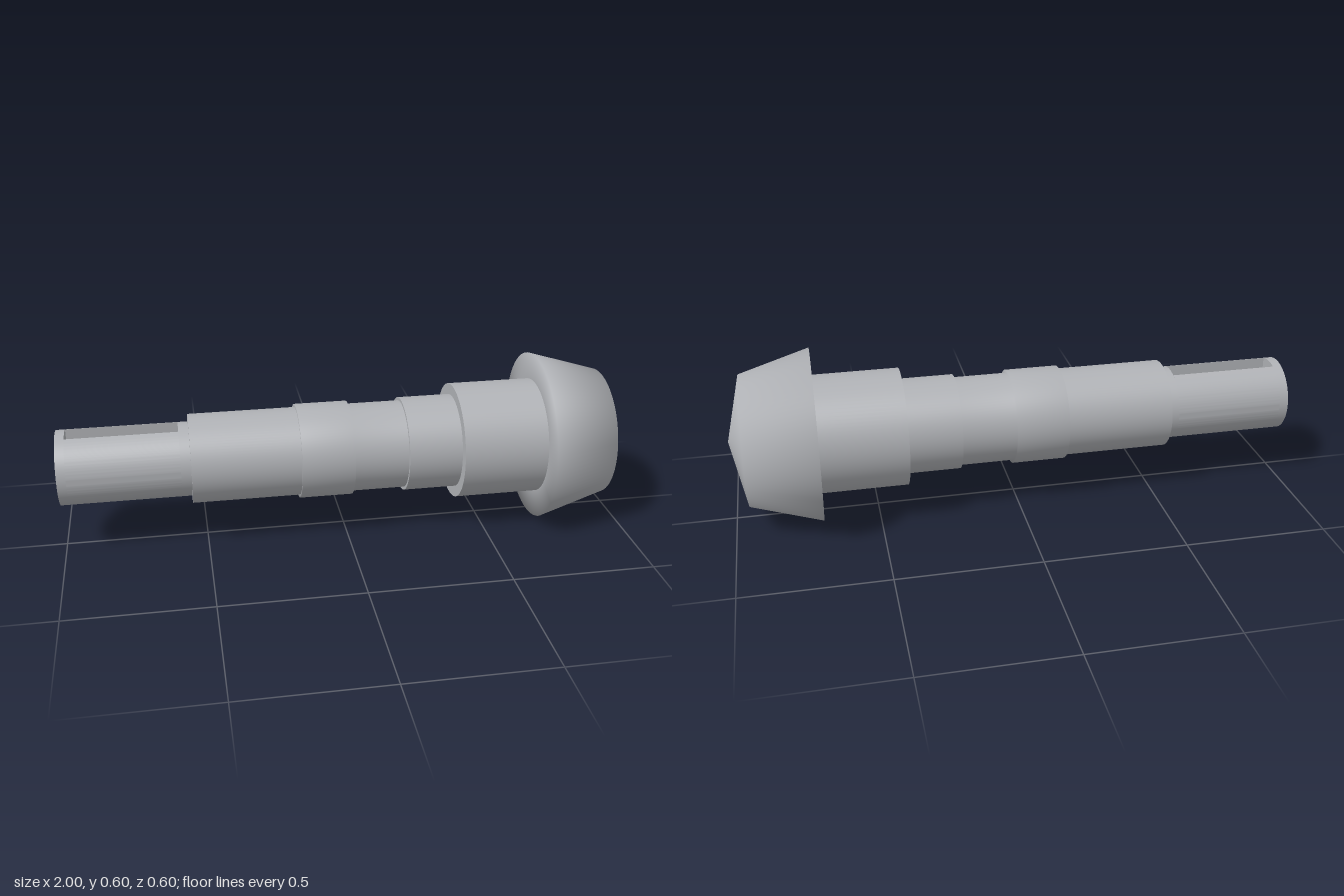
import * as THREE from 'three';
import { toCreasedNormals } from 'three/addons/utils/BufferGeometryUtils.js';

const SEGMENTS = 96;

export function createModel() {
  const model = new THREE.Group();
  model.name = 'steppedShaft';
  const steel = new THREE.MeshStandardMaterial({ color: 0xb0b2b6 });
  steel.name = 'steel';

  // All parts lie along x, on one axis raised so the head rests on y = 0
  const shaft = new THREE.Group();
  shaft.name = 'shaft';
  shaft.position.y = 0.302;
  model.add(shaft);

  const add = (name, geometry) => {
    const mesh = new THREE.Mesh(geometry, steel);
    mesh.name = name;
    shaft.add(mesh);
  };

  // Plain round section between two x positions
  const section = (name, x0, x1, radius) => {
    const g = new THREE.CylinderGeometry(radius, radius, x1 - x0, SEGMENTS);
    g.rotateZ(-Math.PI / 2);
    g.translate((x0 + x1) / 2, 0, 0);
    add(name, g);
  };

  // Softly shaded turned section from [x, radius] pairs
  const turned = (name, profile) => {
    const points = profile.map(([x, r]) => new THREE.Vector2(r, x));
    add(name, new THREE.LatheGeometry(points, SEGMENTS).rotateZ(-Math.PI / 2));
  };

  // Shank with a keyway cut into its top
  const shankRadius = 0.131;
  const slotHalf = 0.042;
  const slotFloor = 0.085;
  section('shankEnd', -1, -0.968, shankRadius);
  section('shankRoot', -0.583, -0.548, shankRadius);
  const edge = Math.acos(slotHalf / shankRadius);
  const notched = new THREE.Shape();
  notched.moveTo(slotHalf, slotFloor);
  notched.lineTo(-slotHalf, slotFloor);
  notched.absarc(0, 0, shankRadius, Math.PI - edge, Math.PI * 2 + edge, false);
  notched.closePath();
  const keyway = new THREE.ExtrudeGeometry(notched, {
    depth: 0.385, bevelEnabled: false, curveSegments: SEGMENTS,
  });
  keyway.rotateY(Math.PI / 2);
  keyway.translate(-0.968, 0, 0);
  add('shankKeyway', toCreasedNormals(keyway, 0.5));

  // Stepped body
  section('rearJournal', -0.548, -0.169, 0.157);
  turned('collarAndNeck', [
    [-0.169, 0.157], [-0.169, 0.168], [0.017, 0.168], [0.017, 0.157], [0.209, 0.157],
  ]);
  section('frontJournal', 0.209, 0.398, 0.168);
  section('shoulder', 0.398, 0.7, 0.207);

  // Tapered head with a shallow conical face
  turned('head', [[0.7, 0.2], [0.7, 0.302], [0.946, 0.229], [1, 0]]);

  return model;
}
